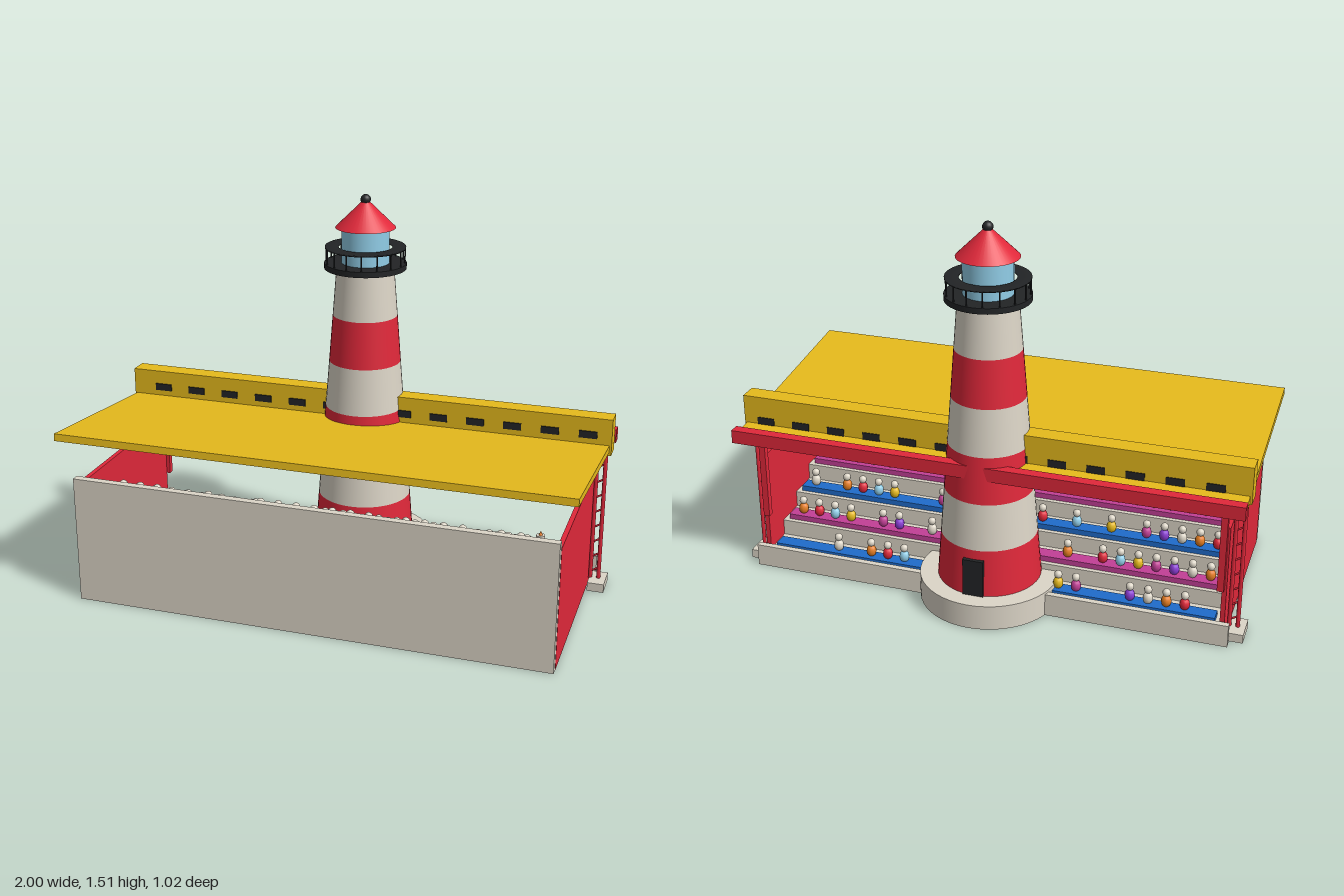
import * as THREE from 'three';
import { mergeGeometries } from 'three/addons/utils/BufferGeometryUtils.js';

const mat = (name, color) => Object.assign(new THREE.MeshStandardMaterial({ color }), { name });
const M = {
  cream: mat('cream', 0xdcd5c7),
  red: mat('red', 0xe0283a),
  yellow: mat('yellow', 0xe6ba1c),
  black: mat('black', 0x222426),
  glass: mat('glass blue', 0x92cfe9),
  blue: mat('seat blue', 0x1f6ccb),
  pink: mat('seat pink', 0xc23f96),
  orange: mat('orange', 0xe67e22),
  purple: mat('purple', 0x8a3cd4),
};

function add(parent, name, geo, material, x = 0, y = 0, z = 0) {
  const m = new THREE.Mesh(geo, material);
  m.name = name;
  m.position.set(x, y, z);
  parent.add(m);
  return m;
}

// Box given by its ranges on each axis
function box(parent, name, material, [x0, x1], [y0, y1], [z0, z1]) {
  return add(parent, name, new THREE.BoxGeometry(Math.abs(x1 - x0), y1 - y0, Math.abs(z1 - z0)),
    material, (x0 + x1) / 2, (y0 + y1) / 2, (z0 + z1) / 2);
}

// Thin round bar between two points
function bar(parent, name, material, a, b, r) {
  const p = new THREE.Vector3(...a), q = new THREE.Vector3(...b);
  const m = add(parent, name, new THREE.CylinderGeometry(r, r, p.distanceTo(q), 8), material);
  m.position.copy(p).add(q).multiplyScalar(0.5);
  m.quaternion.setFromUnitVectors(new THREE.Vector3(0, 1, 0), q.sub(p).normalize());
}

function group(parent, name) {
  const g = new THREE.Group();
  g.name = name;
  parent.add(g);
  return g;
}

function buildLighthouse(root) {
  const g = group(root, 'lighthouse');
  g.position.z = -0.24;
  add(g, 'plinth', new THREE.CylinderGeometry(0.27, 0.27, 0.1, 48), M.cream, 0, 0.05);

  // Tapered tower in six bands
  const h = 1.12 / 6, radius = y => 0.2 - (y - 0.1) * 0.078;
  for (let i = 0; i < 6; i++) {
    const y = 0.1 + i * h;
    add(g, 'towerBand', new THREE.CylinderGeometry(radius(y + h), radius(y), h, 40),
      i % 2 ? M.cream : M.red, 0, y + h / 2);
  }
  box(g, 'door', M.black, [-0.04, 0.04], [0.1, 0.25], [-0.202, -0.17]);

  // Gallery with posts and a flat ring on top
  add(g, 'gallery', new THREE.CylinderGeometry(0.16, 0.16, 0.022, 40), M.black, 0, 1.231);
  const ring = new THREE.LatheGeometry([[0.105, 1.299], [0.157, 1.299], [0.157, 1.305], [0.105, 1.305], [0.105, 1.299]]
    .map(p => new THREE.Vector2(...p)), 40);
  add(g, 'galleryRail', ring, M.black);
  for (let i = 0; i < 16; i++) {
    const a = (i + 0.5) / 16 * Math.PI * 2, x = 0.153 * Math.cos(a), z = 0.153 * Math.sin(a);
    bar(g, 'railPost', M.black, [x, 1.24, z], [x, 1.302, z], 0.003);
  }

  add(g, 'lantern', new THREE.CylinderGeometry(0.093, 0.093, 0.14, 32), M.glass, 0, 1.31);
  add(g, 'lanternRoof', new THREE.ConeGeometry(0.117, 0.115, 40), M.red, 0, 1.437);
  add(g, 'finial', new THREE.SphereGeometry(0.02, 16, 12), M.black, 0, 1.488);
}

const ROWS = 6, Z0 = -0.305, DEPTH = 0.128, Y0 = 0.06, RISE = 0.065;

function buildStand(root) {
  const g = group(root, 'stand');
  box(g, 'tallWall', M.cream, [-0.927, 0.927], [0, 0.505], [0.46, 0.49]);
  for (const s of [-1, 1]) box(g, 'sideWall', M.red, [s * 0.91, s * 0.928], [0, 0.475], [-0.297, 0.462]);
  box(g, 'kerb', M.cream, [-0.95, 0.95], [0, 0.09], [-0.337, -0.313]);

  // Stepped terrace, open underneath, with a bench on each row
  for (let i = 0; i < ROWS; i++) {
    const y = Y0 + i * RISE, z = Z0 + i * DEPTH;
    box(g, 'tread', M.cream, [-0.91, 0.91], [y - 0.015, y], [z, z + DEPTH]);
    box(g, 'riser', M.cream, [-0.91, 0.91], [y - (i ? RISE : Y0), y], [z, z + 0.012]);
    box(g, 'bench', i % 2 ? M.pink : M.blue, [-0.89, 0.89], [y, y + 0.022], [z + 0.018, z + 0.075]);
  }
}

function buildCrowd(root) {
  const g = group(root, 'crowd');
  let seed = 4211;
  const rnd = () => (seed = (seed * 16807) % 2147483647) / 2147483647;
  const shirts = [M.red, M.yellow, M.purple, M.orange, M.glass, M.pink, M.cream];
  const bodies = shirts.map(() => []), heads = [];
  let count = 0;
  for (let i = 0; i < ROWS; i++) {
    for (let x = -0.84; x < 0.85; x += 0.07) {
      const z = Z0 + i * DEPTH + 0.05, y = Y0 + i * RISE + 0.02;
      if (rnd() < 0.25 || Math.hypot(x, z + 0.24) < 0.24) continue;
      const shirt = (count++ * 3 + i) % shirts.length;
      bodies[shirt].push(new THREE.SphereGeometry(0.02, 10, 8).scale(1, 1.25, 1).translate(x, y + 0.022, z));
      heads.push(new THREE.SphereGeometry(0.016, 10, 8).translate(x, y + 0.058, z));
    }
  }
  bodies.forEach((b, i) => add(g, 'spectatorBodies', mergeGeometries(b), shirts[i]));
  add(g, 'spectatorHeads', mergeGeometries(heads), M.cream);
  // Hat peeping over the side wall
  add(g, 'hatBrim', new THREE.CylinderGeometry(0.016, 0.016, 0.01, 12), M.cream, 0.84, 0.477, 0.388);
  add(g, 'hat', new THREE.ConeGeometry(0.008, 0.018, 10), M.orange, 0.84, 0.489, 0.388);
}

function buildRoof(root) {
  const g = group(root, 'canopy');
  const slab = add(g, 'roofSlab', new THREE.BoxGeometry(1.97, 0.028, 0.87), M.yellow, 0, 0.627, 0.076);
  slab.rotation.x = -Math.atan(0.107);
  box(g, 'ridgeBeam', M.yellow, [-0.993, 0.993], [0.57, 0.716], [-0.277, -0.203]);
  box(g, 'edgeBeam', M.red, [-0.99, 0.99], [0.567, 0.62], [-0.397, -0.355]);

  // Small windows on both faces of the ridge beam, lower on the rear
  for (const s of [-1, 1]) {
    for (let i = 1; i <= 6; i++) {
      const x = s * i * 0.147 + 0.02;
      add(g, 'frontWindow', new THREE.BoxGeometry(0.07, 0.028, 0.008), M.black, x, 0.648, -0.202);
      add(g, 'rearWindow', new THREE.BoxGeometry(0.07, 0.032, 0.006), M.black, x, 0.616, -0.277);
    }
    // Lamp boxes beside the tower
    box(g, 'lampBox', M.black, [s * 0.14, s * 0.218], [0.51, 0.565], [-0.287, -0.247]);
  }
}

function buildSupports(root) {
  for (const s of [-1, 1]) {
    const g = group(root, s > 0 ? 'leftSupport' : 'rightSupport');
    box(g, 'footing', M.cream, [s * 0.935, s], [0, 0.035], [-0.295, -0.183]);
    for (const x of [0.938, 0.97]) {
      bar(g, 'leg', M.red, [s * x, 0.03, -0.24], [s * x, 0.58, -0.24], 0.008);
    }
    // Zigzag bracing
    for (let i = 0; i < 8; i++) {
      const y = 0.06 + i * 0.063;
      bar(g, 'brace', M.red, [s * 0.97, y + 0.02, -0.24], [s * 0.938, y, -0.24], 0.004);
    }
    box(g, 'hangerPost', M.red, [s * 0.895, s * 0.92], [0.22, 0.565], [-0.32, -0.295]);
  }
}

export function createModel() {
  const root = new THREE.Group();
  root.name = 'lighthouseGrandstand';
  buildLighthouse(root);
  buildStand(root);
  buildCrowd(root);
  buildRoof(root);
  buildSupports(root);
  return root;
}
